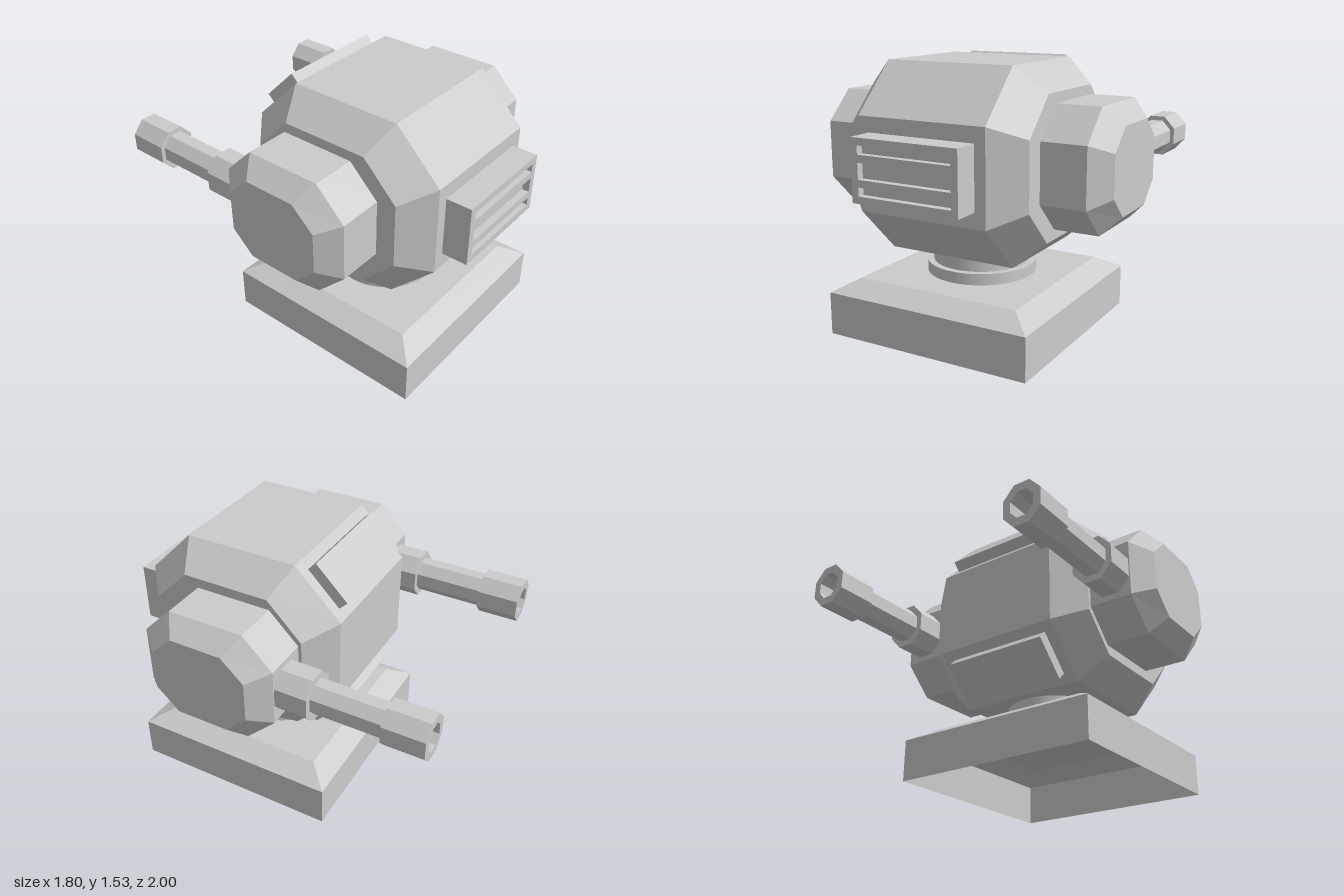
import * as THREE from 'three';

const flat = new THREE.MeshStandardMaterial({ color: 0xcccccc, flatShading: true });
const smooth = new THREE.MeshStandardMaterial({ color: 0xcccccc });
const shell = new THREE.MeshStandardMaterial({ color: 0xcccccc, flatShading: true, side: THREE.DoubleSide });

const MID_Y = 0.9975; // height of the body axis
const MID_Z = 0.255;  // depth of the base and body centre

// Octagonal loft along +z; each section is [z, halfWidth, halfHeight, flatWidth, flatHeight]
function octLoft(sections) {
  const rings = sections.map(([t, a, b, fa, fb]) => [
    [a, -fb, t], [a, fb, t], [fa, b, t], [-fa, b, t],
    [-a, fb, t], [-a, -fb, t], [-fa, -b, t], [fa, -b, t],
  ]);
  const pos = [];
  const tri = (...pts) => pts.forEach((p) => pos.push(...p));
  const last = rings.length - 1;
  for (let j = 0; j < 8; j++) {
    const k = (j + 1) % 8;
    for (let i = 0; i < last; i++) {
      const [p, q] = [rings[i], rings[i + 1]];
      tri(p[j], p[k], q[k]);
      tri(p[j], q[k], q[j]);
    }
    tri([0, 0, sections[0][0]], rings[0][k], rings[0][j]);
    tri([0, 0, sections[last][0]], rings[last][j], rings[last][k]);
  }
  const g = new THREE.BufferGeometry();
  g.setAttribute('position', new THREE.Float32BufferAttribute(pos, 3));
  g.computeVertexNormals();
  return g;
}

function add(parent, name, geometry, material, x = 0, y = 0, z = 0) {
  const mesh = new THREE.Mesh(geometry, material);
  mesh.name = name;
  mesh.position.set(x, y, z);
  parent.add(mesh);
  return mesh;
}

// Regular octagonal section, slightly narrower than tall
const gunRing = (t, r) => [t, r * 0.92, r, r * 0.38, r * 0.414];

function ventPlate() {
  const rect = (path, w, y0, y1) => {
    path.moveTo(-w, y0);
    path.lineTo(w, y0);
    path.lineTo(w, y1);
    path.lineTo(-w, y1);
    path.closePath();
    return path;
  };
  const shape = rect(new THREE.Shape(), 0.32, -0.172, 0.172);
  for (const [y0, y1] of [[0.085, 0.132], [-0.045, 0.043], [-0.132, -0.085]]) {
    shape.holes.push(rect(new THREE.Path(), 0.28, y0, y1));
  }
  return new THREE.ExtrudeGeometry(shape, { depth: 0.04, bevelEnabled: false });
}

export function createModel() {
  const model = new THREE.Group();
  model.name = 'turret';

  // Hollow square base with a sloped rim, open underneath
  const basePoints = [[0.618, 0], [0.618, 0.243], [0.493, 0.315], [0, 0.315]]
    .map(([r, y]) => new THREE.Vector2(r * Math.SQRT2, y));
  add(model, 'base', new THREE.LatheGeometry(basePoints, 4, Math.PI / 4), shell, 0, 0, MID_Z);

  // Round swivel neck
  add(model, 'neckCollar', new THREE.CylinderGeometry(0.313, 0.313, 0.07, 48), smooth, 0, 0.345, MID_Z);
  add(model, 'neck', new THREE.CylinderGeometry(0.276, 0.276, 0.14, 48), smooth, 0, 0.43, MID_Z);

  // Faceted main body, lofted across x
  const body = octLoft([
    [-0.547, 0.455, 0.388, 0.255, 0.185],
    [-0.383, 0.597, 0.527, 0.328, 0.257],
    [0.383, 0.597, 0.527, 0.328, 0.257],
    [0.547, 0.455, 0.388, 0.255, 0.185],
  ]).rotateY(Math.PI / 2);
  add(model, 'body', body, flat, 0, MID_Y, MID_Z);

  // Front vent: block behind a slotted plate
  add(model, 'ventBlock', new THREE.BoxGeometry(0.64, 0.344, 0.16), flat, 0, MID_Y, 0.88);
  add(model, 'ventPlate', ventPlate(), flat, 0, MID_Y, 0.96);

  // Tilted panels on the upper and lower rear chamfers
  for (const s of [1, -1]) {
    const panel = add(model, s > 0 ? 'upperRearPanel' : 'lowerRearPanel',
      new THREE.BoxGeometry(0.64, 0.26, 0.12), flat, 0, MID_Y + s * 0.396, -0.211);
    panel.rotation.x = s * Math.PI / 4;
  }

  const pod = octLoft([
    [0.5, 0.39, 0.332, 0.22, 0.163],
    [0.8, 0.39, 0.332, 0.22, 0.163],
    [0.9, 0.28, 0.235, 0.152, 0.115],
  ]);
  const barrel = octLoft([
    gunRing(0.12, 0.131), gunRing(0.367, 0.131), gunRing(0.367, 0.094),
    gunRing(0.765, 0.094), gunRing(0.765, 0.12), gunRing(1, 0.12),
    gunRing(1, 0.074), gunRing(0.8, 0.074),
  ]).rotateY(Math.PI);

  // Side pods, each with a rear-facing hollow barrel
  for (const s of [1, -1]) {
    const side = s > 0 ? 'left' : 'right';
    add(model, side + 'Pod', pod, flat, 0, MID_Y, 0.208).rotation.y = s * Math.PI / 2;
    add(model, side + 'Barrel', barrel, flat, s * 0.673, MID_Y, 0);
  }
  return model;
}
